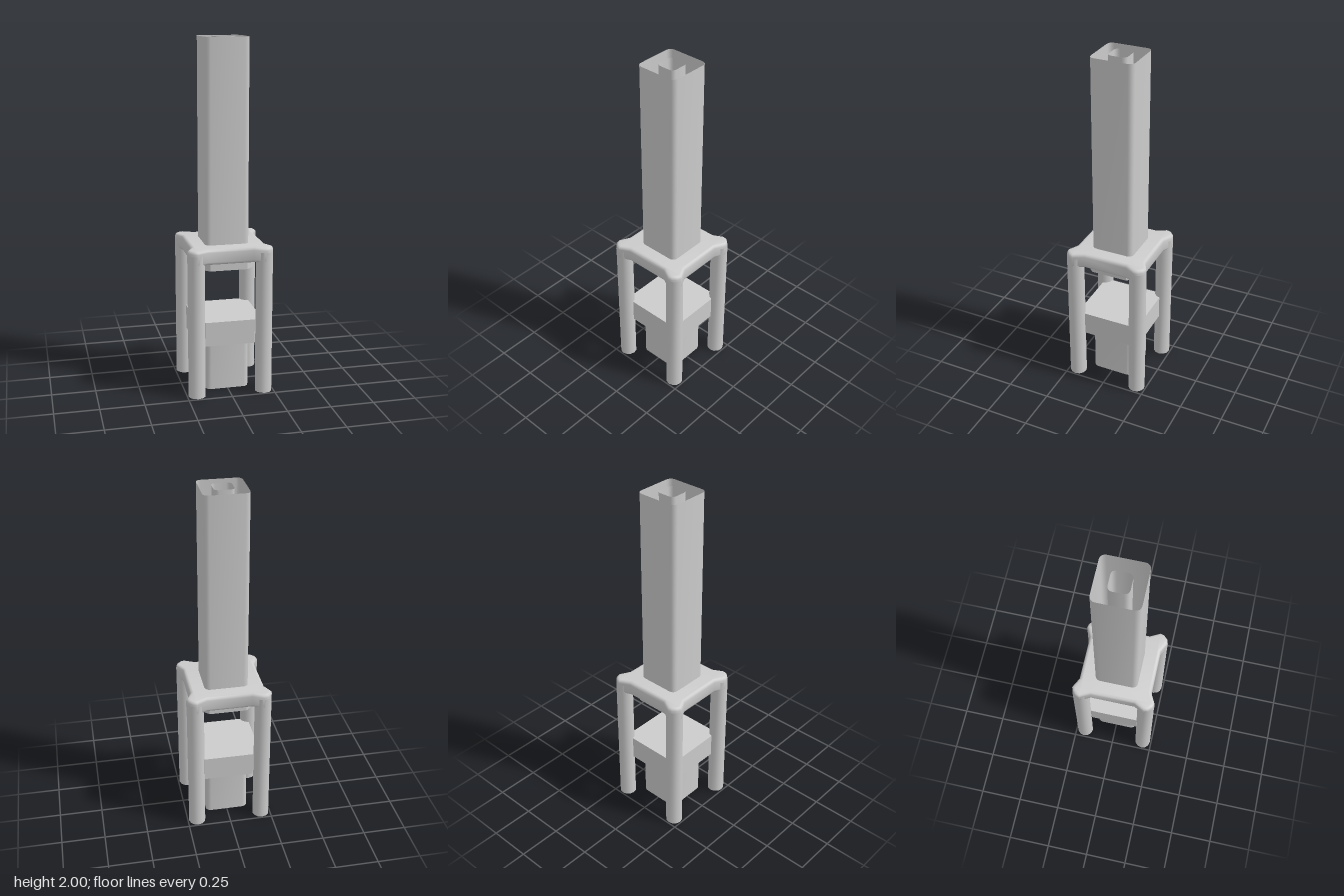
import * as THREE from 'three';
import { toCreasedNormals } from 'three/addons/utils/BufferGeometryUtils.js';

const material = new THREE.MeshStandardMaterial({ color: 0xcccccc, side: THREE.DoubleSide });

function add(parent, name, geometry, crease = 0.7) {
  const mesh = new THREE.Mesh(toCreasedNormals(geometry, crease), material);
  mesh.name = name;
  parent.add(mesh);
  return mesh;
}

// Repeats the points of one corner around the four quadrants.
function fourCorners(corner) {
  const points = [];
  for (let q = 0; q < 4; q++) {
    for (const p of corner) points.push(new THREE.Vector2(...p).rotateAround(new THREE.Vector2(), q * Math.PI / 2));
  }
  return points;
}

// One corner of a square of half width h, rounded (n > 1) or chamfered (n = 1).
function squareOutline(h, r, n) {
  const corner = [];
  for (let i = 0; i <= n; i++) {
    const a = (i / n) * Math.PI / 2;
    corner.push([h - r + r * Math.cos(a), h - r + r * Math.sin(a)]);
  }
  return fourCorners(corner);
}

// Solid slab standing between y0 and y1, with an optional rounded rim.
function slab(points, y0, y1, bevel = 0) {
  const geometry = new THREE.ExtrudeGeometry(new THREE.Shape(points), {
    depth: y1 - y0 - 2 * bevel,
    bevelEnabled: bevel > 0,
    bevelThickness: bevel,
    bevelSize: bevel,
    bevelOffset: -bevel,
    bevelSegments: 3,
  });
  return geometry.rotateX(-Math.PI / 2).translate(0, y0 + bevel, 0);
}

// Thin vertical wall following a closed outline, open at both ends.
function sleeve(points, y0, y1) {
  const positions = [];
  points.forEach((a, i) => {
    const b = points[(i + 1) % points.length];
    const quad = [[a, y0], [b, y0], [b, y1], [a, y0], [b, y1], [a, y1]];
    for (const [p, y] of quad) positions.push(p.x, y, -p.y);
  });
  const geometry = new THREE.BufferGeometry();
  geometry.setAttribute('position', new THREE.Float32BufferAttribute(positions, 3));
  geometry.computeVertexNormals();
  return geometry;
}

export function createModel() {
  const model = new THREE.Group();
  model.name = 'towerOnFrame';

  // Hollow square shafts
  const shaft = squareOutline(0.125, 0.03, 4);
  add(model, 'towerShaft', sleeve(shaft, 0.8, 2));
  add(model, 'innerTube', sleeve(squareOutline(0.055, 0.025, 4), 0.8, 2));
  add(model, 'lowerShaft', sleeve(shaft, 0, 0.31));

  // Frame top, swelling out around each leg
  const frame = fourCorners([
    [0.213, -0.13], [0.213, 0.13], [0.244, 0.19], [0.237, 0.215],
    [0.215, 0.237], [0.19, 0.244], [0.13, 0.213],
  ].slice(1));
  add(model, 'frameTop', slab(frame, 0.77, 0.86, 0.018), 0.9);

  // Chamfered blocks under the frame top and between the legs
  add(model, 'upperBlock', slab(squareOutline(0.16, 0.053, 1), 0.72, 0.79));
  add(model, 'middleBlock', slab(squareOutline(0.19, 0.047, 1), 0.29, 0.43));

  // Four round legs
  const legs = new THREE.Group();
  legs.name = 'legs';
  for (const x of [-1, 1]) {
    for (const z of [-1, 1]) {
      const leg = add(legs, 'leg', new THREE.CylinderGeometry(0.049, 0.049, 0.83, 12, 1, true));
      leg.position.set(x * 0.194, 0.415, z * 0.194);
    }
  }
  model.add(legs);
  return model;
}
